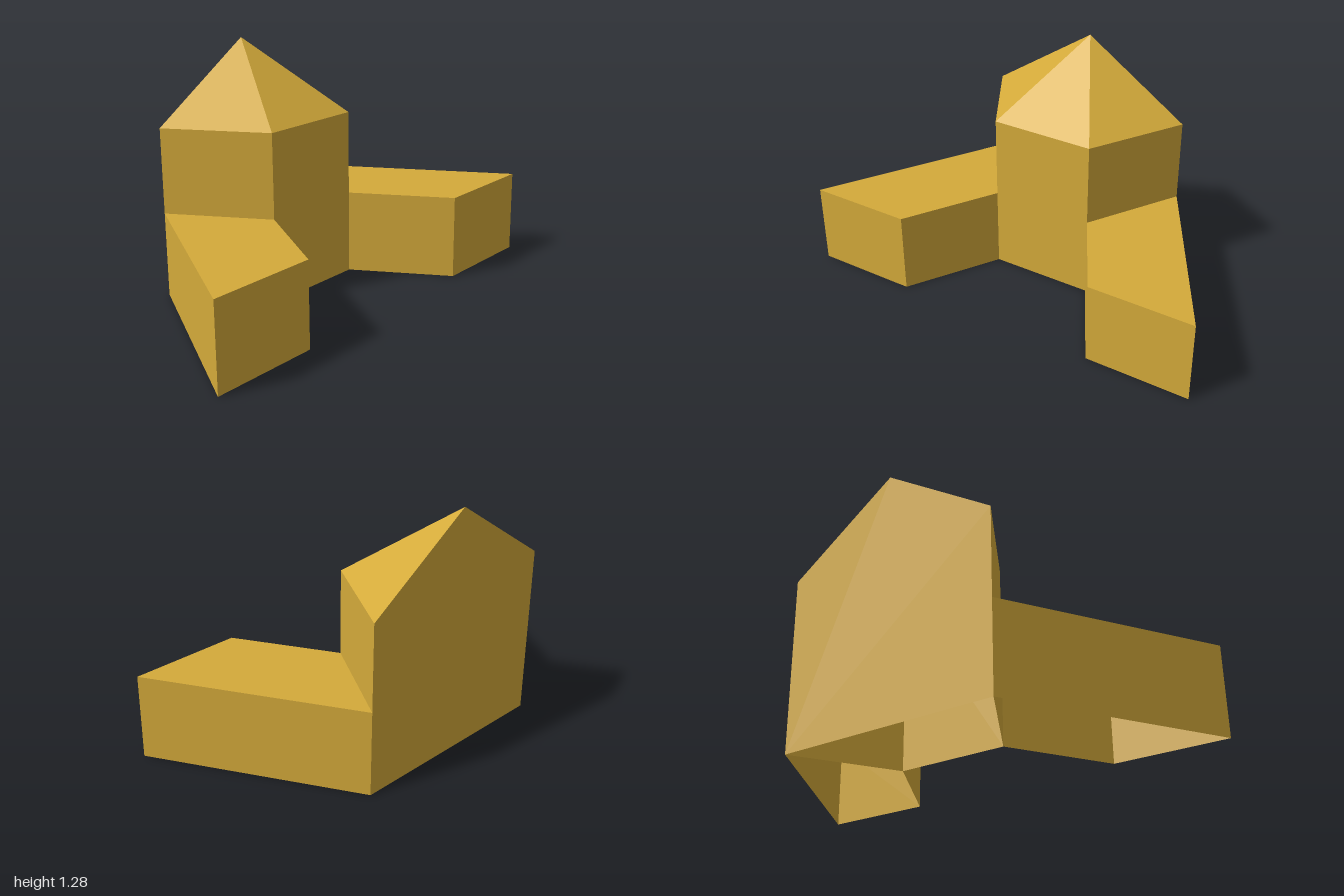
import * as THREE from 'three';

const WALL = 0.9, WING = 0.45, PEAK = 1.285;
const R = 1 / Math.sqrt(3); // hexagon side length

const material = new THREE.MeshStandardMaterial({
  color: 0xd4aa3a, flatShading: true, side: THREE.DoubleSide,
});

const at = ([x, z], y) => [x, y, z];

// Turns flat convex polygons into one mesh, fanning each from its first corner
function shell(name, polygons) {
  const positions = [];
  for (const p of polygons) {
    for (let i = 1; i < p.length - 1; i++) positions.push(...p[0], ...p[i], ...p[i + 1]);
  }
  const geometry = new THREE.BufferGeometry();
  geometry.setAttribute('position', new THREE.Float32BufferAttribute(positions, 3));
  geometry.computeVertexNormals();
  const mesh = new THREE.Mesh(geometry, material);
  mesh.name = name;
  return mesh;
}

// Upright walls along an open footprint path
function walls(path, height) {
  return path.slice(1).map((b, i) => {
    const a = path[i];
    return [at(a, 0), at(b, 0), at(b, height), at(a, height)];
  });
}

// Low wing: three walls and a flat top, open below and towards the tower
function wing(name, path) {
  return shell(name, [...walls(path, WING), path.map((p) => at(p, WING))]);
}

export function createModel() {
  const group = new THREE.Group();
  group.name = 'halfHexagonTower';

  // Tower footprint: half a hexagon, its centre lying on the flat back wall
  const centre = [-0.5, -R];
  const base = [[-1, -R / 2], [-0.5, 0], [0, -R / 2], [0, -1.5 * R]];
  const apex = at(centre, PEAK);

  group.add(shell('towerWalls', walls(base, WALL)));

  // Back wall rises into a gable up to the apex
  const [first, , , last] = base;
  group.add(shell('backWall', [
    [at(last, 0), at(first, 0), at(first, WALL), apex, at(last, WALL)],
  ]));

  // Three roof slopes meeting at the apex
  group.add(shell('roof', base.slice(1).map((b, i) => [at(base[i], WALL), at(b, WALL), apex])));

  // Wings spreading from the two outer tower walls
  group.add(wing('rightWing', [base[0], [-1, 1.5 * R], [-0.5, R], base[1]]));
  group.add(wing('leftWing', [base[2], [0.5, 0], [1, -R / 2], base[3]]));

  return group;
}
